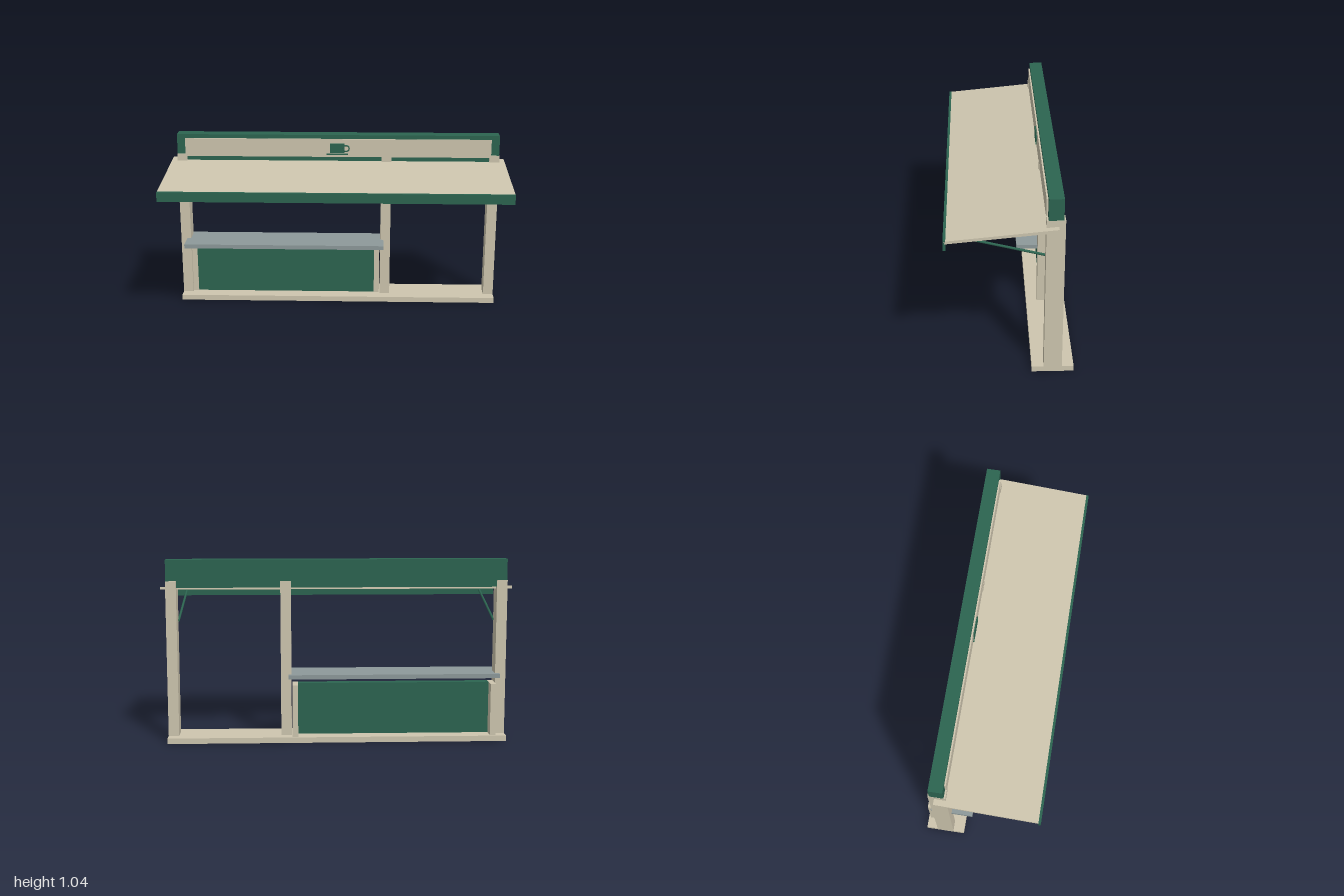
import * as THREE from 'three';

const mat = (name, color) => {
  const m = new THREE.MeshStandardMaterial({ color });
  m.name = name;
  return m;
};

export function createModel() {
  const model = new THREE.Group();
  model.name = 'marketStall';
  const cream = mat('cream wood', 0xcdc5ae);
  const green = mat('dark green paint', 0x2c6450);
  const grey = mat('grey counter', 0x8d999a);

  const add = (name, geometry, material) => {
    const mesh = new THREE.Mesh(geometry, material);
    mesh.name = name;
    model.add(mesh);
    return mesh;
  };
  // Box given by its limits on each axis
  const box = (name, material, x0, x1, y0, y1, z0, z1) => {
    const mesh = add(name, new THREE.BoxGeometry(x1 - x0, y1 - y0, z1 - z0), material);
    mesh.position.set((x0 + x1) / 2, (y0 + y1) / 2, (z0 + z1) / 2);
    return mesh;
  };

  // Base and three posts
  box('base', cream, -0.967, 0.967, 0, 0.032, -0.339, -0.114);
  for (const x of [-0.967, 0.262, 0.907]) {
    box('post', cream, x, x + 0.06, 0.032, 0.92, -0.275, -0.178);
  }

  // Header beam with sign board
  box('headerBeam', green, -0.966, 0.966, 0.882, 1.04, -0.266, -0.188);
  box('signBoard', cream, -0.917, 0.917, 0.908, 1.017, -0.19, -0.179);

  // Cup emblem on the sign board
  box('emblemCup', green, -0.045, 0.04, 0.935, 0.99, -0.18, -0.173);
  box('emblemSaucer', green, -0.066, 0.06, 0.922, 0.929, -0.18, -0.173);
  const handle = add('emblemHandle', new THREE.TorusGeometry(0.018, 0.004, 8, 24), green);
  handle.position.set(0.05, 0.961, -0.176);

  // Sloping awning and its valance
  const back = new THREE.Vector3(0, 0.878, -0.242);
  const front = new THREE.Vector3(0, 0.821, 0.334);
  const awning = add('awning', new THREE.BoxGeometry(2, 0.016, back.distanceTo(front)), cream);
  awning.position.copy(back).lerp(front, 0.5);
  awning.rotation.x = Math.atan2(back.y - front.y, front.z - back.z);
  box('valance', green, -1, 1, 0.776, 0.832, 0.327, 0.341);

  // Awning struts
  for (const side of [-1, 1]) {
    const a = new THREE.Vector3(side * 0.905, 0.686, -0.19);
    const b = new THREE.Vector3(side * 0.905, 0.807, 0.287);
    const strut = add('strut', new THREE.CylinderGeometry(0.007, 0.007, a.distanceTo(b), 8), green);
    strut.position.copy(a).lerp(b, 0.5);
    strut.quaternion.setFromUnitVectors(new THREE.Vector3(0, 1, 0), b.sub(a).normalize());
  }

  // Counter with the panel and studs below it
  box('counter', grey, -0.93, 0.28, 0.36, 0.385, -0.301, -0.057);
  box('counterPanel', green, -0.876, 0.226, 0.03, 0.33, -0.252, -0.202);
  for (const x of [-0.907, 0.225]) {
    box('counterStud', cream, x, x + 0.032, 0.032, 0.33, -0.326, -0.196);
  }

  return model;
}
